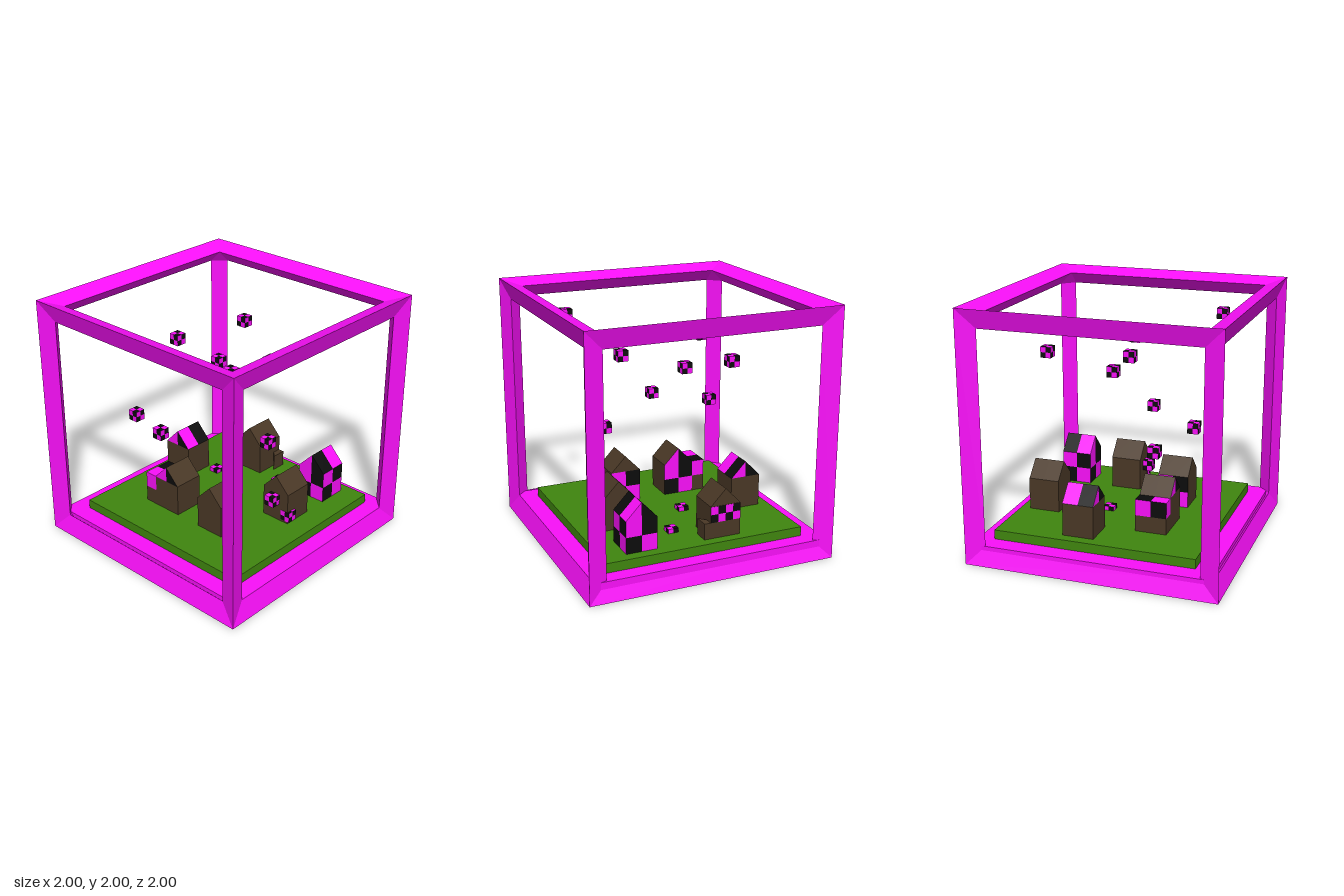
import * as THREE from 'three';

const mat = (color) => new THREE.MeshStandardMaterial({ color, flatShading: true });
const magenta = mat(0xfa10fa), black = mat(0x0c0c0c), brown = mat(0x4a3826), green = mat(0x40860f);
const palette = [magenta, black, brown];
const GROUND = 0.23, EAVE = 0.49, RIDGE = 0.62, W = 0.25;

function add(parent, name, geometry, material, x = 0, y = 0, z = 0) {
  const mesh = new THREE.Mesh(geometry, material);
  mesh.name = name;
  mesh.position.set(x, y, z);
  parent.add(mesh);
  return mesh;
}

// Collects flat polygons, turning each one to face a given direction
function polygonSet() {
  const pos = [], groups = [];
  return {
    poly(points, dir, material = 0) {
      const p = points.map((q) => new THREE.Vector3(...q));
      const n = p[1].clone().sub(p[0]).cross(p[2].clone().sub(p[0]));
      if (n.dot(new THREE.Vector3(...dir)) < 0) p.reverse();
      groups.push([pos.length / 3, (p.length - 2) * 3, material]);
      for (let i = 1; i < p.length - 1; i++) {
        for (const v of [p[0], p[i], p[i + 1]]) pos.push(v.x, v.y, v.z);
      }
    },
    build(grouped) {
      const g = new THREE.BufferGeometry();
      g.setAttribute('position', new THREE.Float32BufferAttribute(pos, 3));
      g.computeVertexNormals();
      if (grouped) groups.forEach((a) => g.addGroup(...a));
      return g;
    },
  };
}

// Box whose listed faces (+x,-x,+y,-y,+z,-z = 0..5) are chequered, the rest brown
function checkBox(w, h, d, sx, sy, sz, faces) {
  const g = new THREE.BoxGeometry(w, h, d, sx, sy, sz);
  g.clearGroups();
  const dims = [[sz, sy], [sz, sy], [sx, sz], [sx, sz], [sx, sy], [sx, sy]];
  let start = 0;
  dims.forEach(([cols, rows], face) => {
    for (let r = 0; r < rows; r++) {
      for (let c = 0; c < cols; c++, start += 6) {
        g.addGroup(start, 6, faces.includes(face) ? (r + c) % 2 : 2);
      }
    }
  });
  return g;
}

// Cube frame with bevelled beams that are triangular in section
function frameGeometry() {
  const set = polygonSet(), R = 0.85, D = 0.95;
  const at = (k, a, b, c) => {
    const p = [0, 0, 0];
    p[k] = a; p[(k + 1) % 3] = b; p[(k + 2) % 3] = c;
    return p;
  };
  const ring = [[1, 1], [-1, 1], [-1, -1], [1, -1]];
  for (let k = 0; k < 3; k++) {
    for (const s of [1, -1]) {
      ring.forEach(([u, v], i) => {
        const [u2, v2] = ring[(i + 1) % 4];
        set.poly([at(k, s, u, v), at(k, s, u2, v2), at(k, s * D, u2 * R, v2 * R), at(k, s * D, u * R, v * R)], at(k, s, 0, 0));
      });
    }
    for (const [a, b] of ring) {
      set.poly([at(k, -R, a * D, b * R), at(k, R, a * D, b * R), at(k, R, a * R, b * D), at(k, -R, a * R, b * D)], at(k, 0, -a, -b));
    }
  }
  for (const [x, z] of ring) {
    for (const y of [1, -1]) {
      set.poly([[x * D, y * R, z * R], [x * R, y * D, z * R], [x * R, y * R, z * D]], [-x, -y, -z]);
    }
  }
  return set.build(false);
}

// Gable roof with its ridge along x; slopes and gable ends split in two
function roofGeometry(slopeChecks, gableChecks, parity) {
  const set = polygonSet(), h = W / 2, t = RIDGE - EAVE;
  for (const s of [1, -1]) {
    for (const e of [1, -1]) {
      const tone = (s * e > 0 ? 1 : 0) ^ parity;
      set.poly([[0, 0, s * h], [e * h, 0, s * h], [e * h, t, 0], [0, t, 0]], [0, 1, s], slopeChecks ? tone : 2);
      set.poly([[e * h, 0, 0], [e * h, 0, s * h], [e * h, t, 0]], [e, 0, 0], gableChecks ? (s * e > 0 ? 0 : 1) : 2);
    }
  }
  return set.build(true);
}

function house(parent, { x, z, walls = [], slopes = false, gables = false, parity = 0 }) {
  const g = new THREE.Group();
  g.name = 'house';
  g.position.set(x, GROUND, z);
  const h = EAVE - GROUND;
  add(g, 'houseWalls', checkBox(W, h, W, 2, 2, 2, walls), palette, 0, h / 2, 0);
  add(g, 'houseRoof', roofGeometry(slopes, gables, parity), palette, 0, h, 0);
  parent.add(g);
  return g;
}

export function createModel() {
  const model = new THREE.Group();
  model.name = 'framedVillage';

  add(model, 'cubeFrame', frameGeometry(), magenta, 0, 1, 0);
  add(model, 'floorSlab', new THREE.BoxGeometry(1.887, 0.075, 1.91), magenta, 0.0235, 0.1175, -0.005);
  add(model, 'grassPlate', new THREE.BoxGeometry(1.615, 0.08, 1.62), green, 0.033, 0.19, 0);

  // Six houses
  house(model, { x: 0.18, z: -0.6, slopes: true, gables: true, parity: 1 ^ 1 });
  const backLeft = house(model, { x: -0.315, z: -0.235, walls: [0], gables: true });
  const backRight = house(model, { x: 0.635, z: -0.19 });
  house(model, { x: -0.315, z: 0.238, walls: [0, 5] });
  house(model, { x: 0.18, z: 0.495 });
  house(model, { x: 0.63, z: 0.495, walls: [0, 1, 4, 5], slopes: true, gables: true, parity: 1 });

  // Flat-topped extension behind one house
  add(backLeft, 'extensionBase', new THREE.BoxGeometry(W, 0.13, 0.11), brown, 0, 0.065, -0.175);
  add(backLeft, 'extensionTop', checkBox(W, 0.13, 0.11, 2, 1, 1, [0, 1, 2, 5]), palette, 0, 0.195, -0.175);

  // Chequered upper wall and slanted porch on another
  add(backRight, 'wallPanel', checkBox(0.006, 0.13, W, 1, 2, 4, [0]), palette, 0.125, 0.194, 0);
  const plan = new THREE.Shape([[0, -0.175], [0.125, -0.175], [0.125, -0.125], [0.055, -0.125]].map((p) => new THREE.Vector2(...p)));
  const porch = new THREE.ExtrudeGeometry(plan, { depth: 0.13, bevelEnabled: false });
  add(backRight, 'porch', porch.rotateX(-Math.PI / 2), brown);

  // Floating and half-buried chequered cubes
  const cube = checkBox(0.086, 0.086, 0.086, 2, 2, 2, [0, 1, 2, 3, 4, 5]);
  [
    [-0.575, 1.755, 0.585], [-0.125, 1.595, -0.39], [0.095, 1.555, 0.38], [0.575, 1.555, -0.315],
    [0.095, 1.4, -0.155], [-0.56, 1.015, -0.155], [-0.39, 0.95, -0.61], [-0.03, 0.955, 0.475],
    [0.02, 0.42, 0.49], [0.095, 0.29, 0.595], [0.295, 0.222, -0.37], [0.505, 0.222, 0.145], [0.145, 0.222, -0.11],
  ].forEach((p) => add(model, 'smallCube', cube, palette, ...p));

  return model;
}
